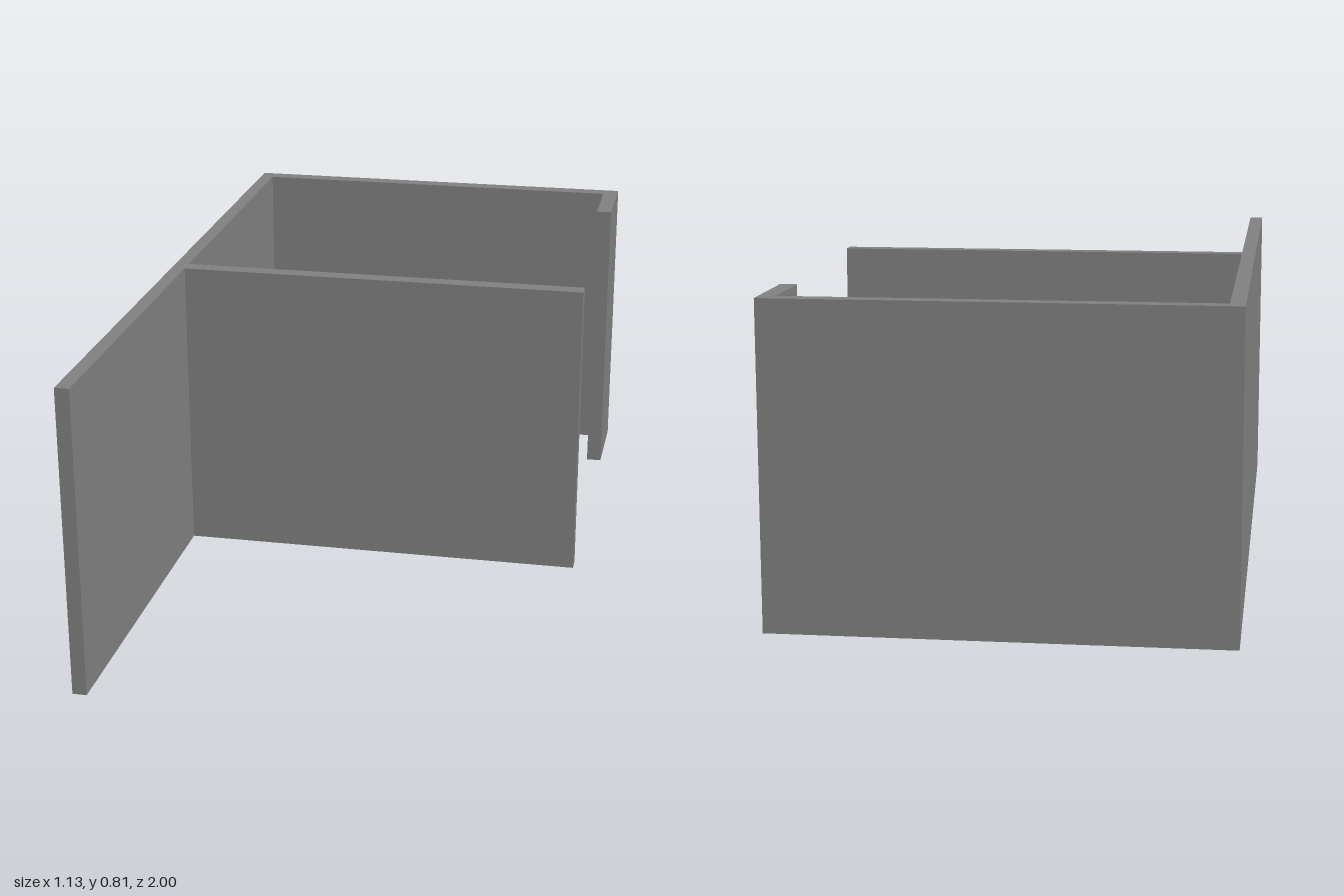
import * as THREE from 'three';

const HEIGHT = 0.807;

// Footprint of each wall: name, x from/to, z from/to (butt-jointed)
const WALLS = [
  ['longSideWall', -0.567, -0.53, -1, 1],
  ['backWall', -0.53, 0.567, -1, -0.957],
  ['returnWall', 0.525, 0.567, -0.957, -0.753],
  ['partitionWall', -0.53, 0.567, 0, 0.043],
];

export function createModel() {
  const model = new THREE.Group();
  model.name = 'roomWalls';
  const grey = new THREE.MeshStandardMaterial({ color: 0x808080 });
  grey.name = 'wall grey';

  for (const [name, x0, x1, z0, z1] of WALLS) {
    const wall = new THREE.Mesh(new THREE.BoxGeometry(x1 - x0, HEIGHT, z1 - z0), grey);
    wall.name = name;
    wall.position.set((x0 + x1) / 2, HEIGHT / 2, (z0 + z1) / 2);
    model.add(wall);
  }
  return model;
}
